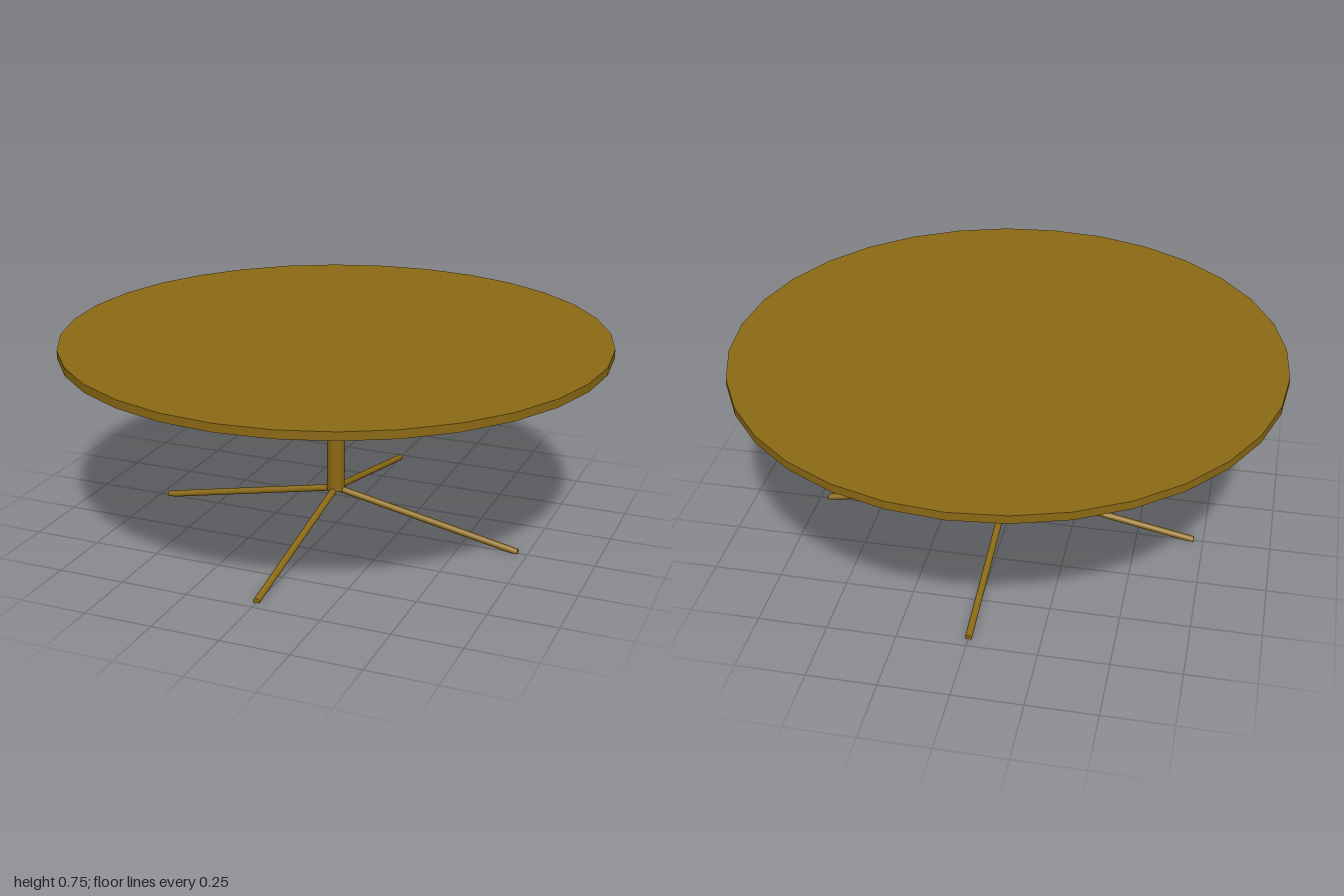
import * as THREE from 'three';

const wood = new THREE.MeshStandardMaterial({ color: 0x8b6914 });

function add(parent, name, geometry, y = 0) {
  const mesh = new THREE.Mesh(geometry, wood);
  mesh.name = name;
  mesh.position.y = y;
  parent.add(mesh);
  return mesh;
}

// Thin rod along +x, sloping down with an upright end, its foot flattened on the floor
function legGeometry(length, radius, topY, slope) {
  const geo = new THREE.CylinderGeometry(radius, radius, length, 16, 30);
  geo.rotateZ(-Math.PI / 2).translate(length / 2, 0, 0);
  const p = geo.attributes.position;
  for (let i = 0; i < p.count; i++) {
    p.setY(i, Math.max(0, p.getY(i) + topY - slope * p.getX(i)));
  }
  geo.computeVertexNormals();
  return geo;
}

export function createModel() {
  const table = new THREE.Group();
  table.name = 'pedestalTable';

  // Round top
  add(table, 'tableTop', new THREE.CylinderGeometry(1, 1, 0.03, 32), 0.735);

  // Central post
  add(table, 'post', new THREE.CylinderGeometry(0.033, 0.033, 0.58, 32), 0.43);

  // Four splayed legs
  const leg = legGeometry(0.715, 0.0125, 0.147, 0.2);
  for (let i = 0; i < 4; i++) {
    add(table, `leg${i + 1}`, leg).rotation.y = (i * Math.PI) / 2;
  }
  return table;
}
